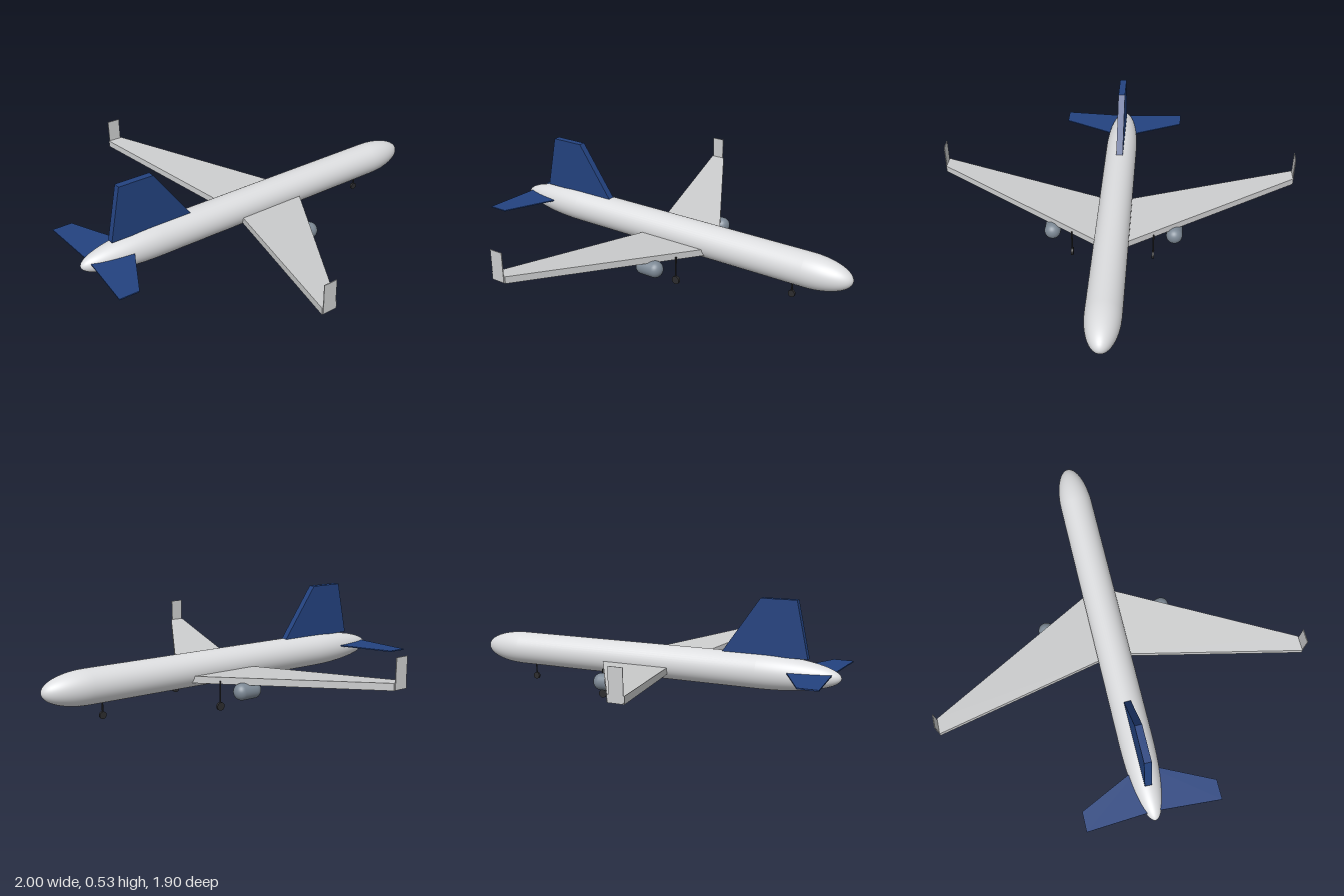
import * as THREE from 'three';
import { ConvexGeometry } from 'three/addons/geometries/ConvexGeometry.js';

const paint = (name, color) => {
  const m = new THREE.MeshStandardMaterial({ color });
  m.name = name;
  return m;
};

export function createModel() {
  const model = new THREE.Group();
  model.name = 'airliner';

  const white = paint('fuselageWhite', 0xdcdddf);
  const grey = paint('wingGrey', 0xcccdce);
  const navy = paint('tailNavy', 0x23427f);
  const steel = paint('engineSteel', 0x7c8894);
  const black = paint('gearBlack', 0x2c2c2e);

  const add = (name, geometry, material, x = 0, y = 0, z = 0) => {
    const mesh = new THREE.Mesh(geometry, material);
    mesh.name = name;
    mesh.position.set(x, y, z);
    model.add(mesh);
    return mesh;
  };

  // Flat-faced solid from corner points
  const solid = (corners) =>
    new ConvexGeometry(corners.map((c) => new THREE.Vector3(...c)));

  // Round body along x with elliptical tail and nose caps
  const roundBody = (radius, back, front, tail, nose, segments) => {
    const points = [];
    const steps = 14;
    for (let i = 0; i <= steps; i++) {
      const a = (i / steps) * Math.PI / 2;
      points.push(new THREE.Vector2(radius * Math.sin(a), back + tail * (1 - Math.cos(a))));
    }
    for (let i = 0; i <= steps; i++) {
      const a = (i / steps) * Math.PI / 2;
      points.push(new THREE.Vector2(radius * Math.cos(a), front - nose * (1 - Math.sin(a))));
    }
    return new THREE.LatheGeometry(points, segments).rotateZ(-Math.PI / 2);
  };

  // Fuselage, nose towards +x
  add('fuselage', roundBody(0.087, -1, 1, 0.4, 0.23, 48), white, 0, 0.17, 0);

  // Vertical fin
  const finOutline = [[-0.84, 0.25], [-0.78, 0.53], [-0.6, 0.53], [-0.405, 0.25]];
  add('fin', solid(finOutline.flatMap(([x, y]) => [[x, y, 0.018], [x, y, -0.018]])), navy);

  // Wheel with its strut
  const gear = (name, x, z, radius, top) => {
    add(name + 'Wheel', new THREE.CylinderGeometry(radius, radius, 0.012, 24).rotateX(Math.PI / 2),
      black, x, radius, z);
    add(name + 'Strut', new THREE.CylinderGeometry(0.004, 0.004, top - radius, 10),
      black, x, (top + radius) / 2, z);
  };
  gear('noseGear', 0.695, 0, 0.018, 0.1);

  for (const [side, s] of [['left', 1], ['right', -1]]) {
    // Swept wing rising towards the tip
    const wing = [];
    for (const [x, y, z] of [
      [0.236, 0.121, 0.07], [-0.135, 0.121, 0.07],
      [-0.27, 0.198, 0.946], [-0.35, 0.198, 0.946],
    ]) wing.push([x, y, s * z], [x, y + 0.035, s * z]);
    add(side + 'Wing', solid(wing), grey);

    // Upright wing tip plate
    add(side + 'Winglet', new THREE.BoxGeometry(0.068, 0.15, 0.004), grey, -0.311, 0.275, s * 0.947);

    // Thin tailplane
    const tailplane = [];
    for (const [x, z] of [[-0.72, 0], [-0.958, 0], [-0.88, 0.34], [-0.98, 0.34]]) {
      tailplane.push([x, 0.184, s * z], [x, 0.19, s * z]);
    }
    add(side + 'Tailplane', solid(tailplane), navy);

    // Engine under the wing
    add(side + 'Engine', roundBody(0.042, 0, 0.147, 0.038, 0.04, 28), steel, 0, 0.111, s * 0.315);

    gear(side + 'MainGear', 0.158, s * 0.209, 0.021, 0.148);
  }

  return model;
}
